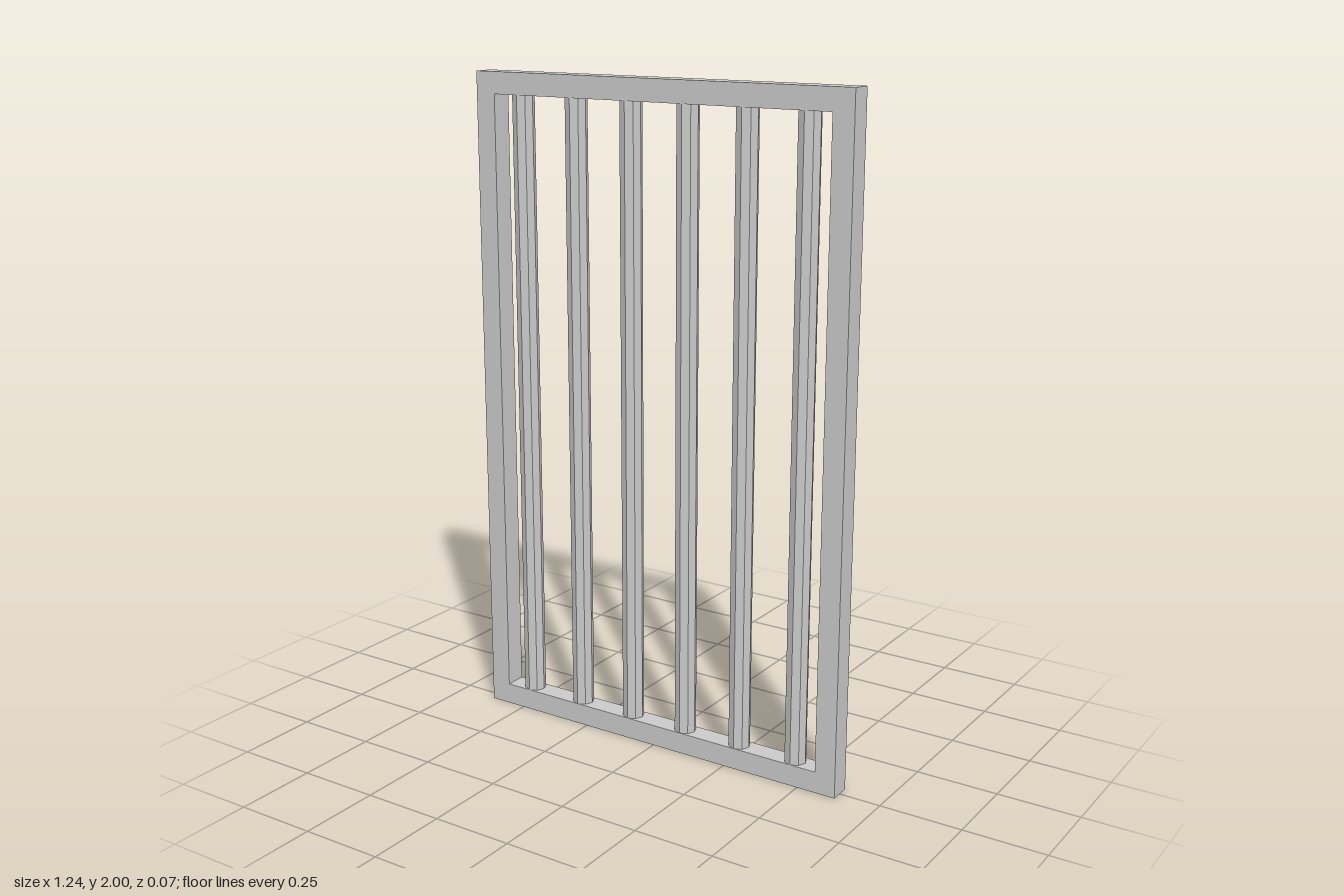
import * as THREE from 'three';

export function createModel() {
  const group = new THREE.Group();
  const material = new THREE.MeshStandardMaterial({ color: 0xcccccc, flatShading: true });

  const W = 1.244, H = 2, T = 0.065, D = 0.066;

  // Rectangular frame with one large opening
  const outline = new THREE.Shape([
    new THREE.Vector2(-W / 2, 0), new THREE.Vector2(W / 2, 0),
    new THREE.Vector2(W / 2, H), new THREE.Vector2(-W / 2, H),
  ]);
  const x = W / 2 - T;
  outline.holes.push(new THREE.Path([
    new THREE.Vector2(-x, T), new THREE.Vector2(-x, H - T),
    new THREE.Vector2(x, H - T), new THREE.Vector2(x, T),
  ]));
  const frameGeometry = new THREE.ExtrudeGeometry(outline, { depth: D, bevelEnabled: false });
  frameGeometry.translate(0, 0, -D / 2);
  const frame = new THREE.Mesh(frameGeometry, material);
  frame.name = 'frame';
  group.add(frame);

  // Six evenly spaced eight-sided bars between the rails
  const bars = new THREE.Group();
  bars.name = 'bars';
  const barGeometry = new THREE.CylinderGeometry(0.033, 0.033, H - 2 * T, 8);
  for (let i = 0; i < 6; i++) {
    const bar = new THREE.Mesh(barGeometry, material);
    bar.name = `bar${i + 1}`;
    bar.position.set((i - 2.5) * 0.19, H / 2, 0);
    bars.add(bar);
  }
  group.add(bars);

  return group;
}
